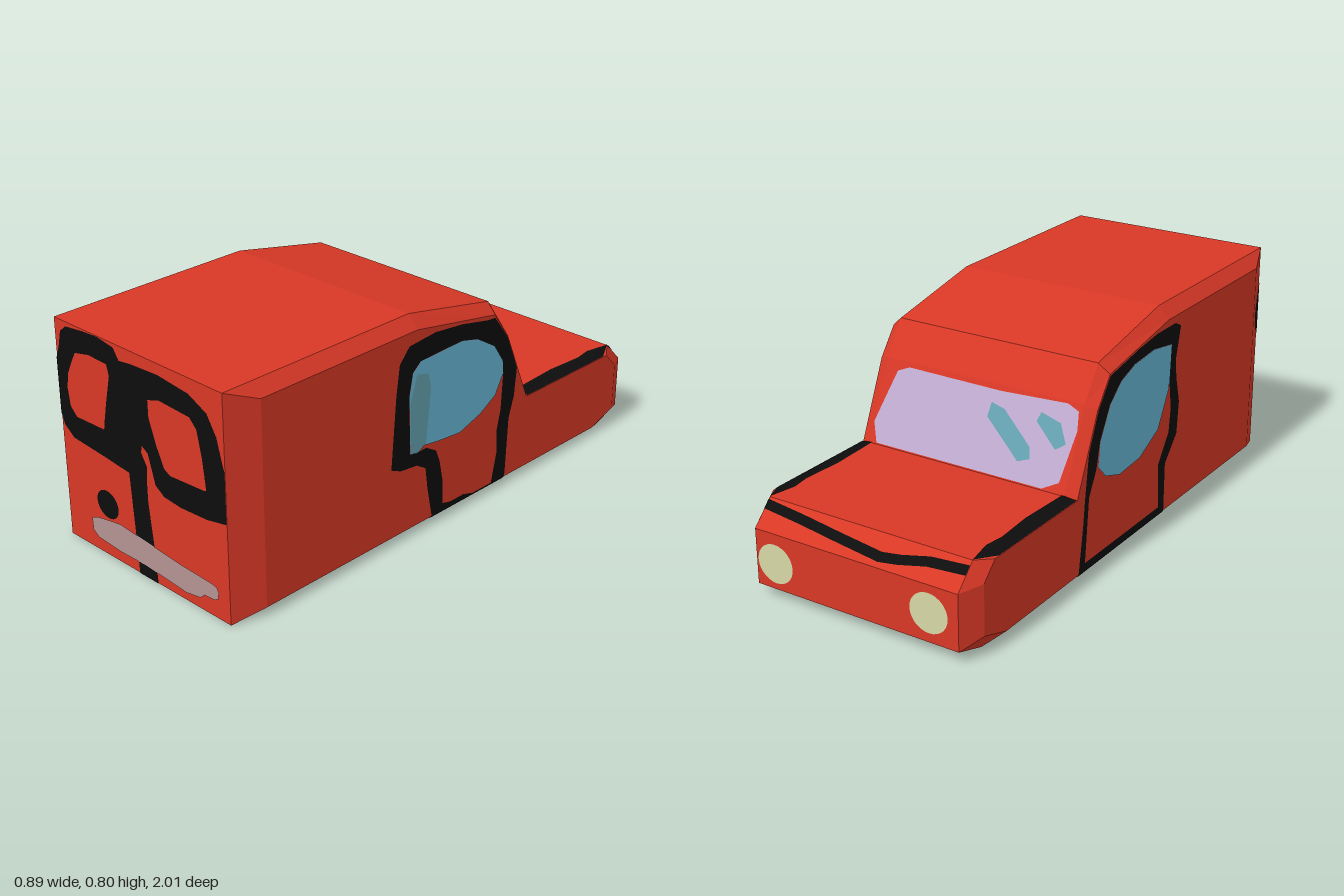
import * as THREE from 'three';

const mat = (name, color, side = THREE.DoubleSide) => {
  const m = new THREE.MeshStandardMaterial({ color, side });
  m.name = name;
  return m;
};

export function createModel() {
  const van = new THREE.Group();
  van.name = 'van';
  const red = mat('red paint', 0xd93826, THREE.FrontSide);
  const black = mat('black line', 0x0d0d0d);
  const blue = mat('window blue', 0x69b9d9);
  const teal = mat('glass streak', 0x66a3b2);
  const lilac = mat('windscreen lilac', 0xc0acd0);
  const grey = mat('bumper grey', 0xb49492);
  const cream = mat('lamp cream', 0xd8d8a6);

  // Body: centre profile at x = 0.4 and a smaller side profile at x = 0.44, as [z, y]
  const inner = [[1, 0], [1, .8], [.2, .8], [-.2, .72], [-.28, .6], [-.4, .32], [-.92, .32], [-1, .24], [-1, .04], [-.88, 0]];
  const outer = [[.885, .03], [.885, .755], [.2, .755], [-.19, .685], [-.265, .585], [-.385, .31], [-.86, .31], [-.92, .25], [-.92, .07], [-.8, .03]];
  const pos = [];
  const tri = (...corners) => corners.forEach((c) => pos.push(...c));
  const quad = (a, b, c, d) => { tri(a, b, c); tri(a, c, d); };
  const at = (x, [z, y]) => [x, y, z];
  const n = inner.length;
  for (let i = 0; i < n; i++) {
    const j = (i + 1) % n;
    quad(at(-.4, inner[i]), at(.4, inner[i]), at(.4, inner[j]), at(-.4, inner[j]));
    quad(at(.4, inner[i]), at(.44, outer[i]), at(.44, outer[j]), at(.4, inner[j]));
    quad(at(-.44, outer[i]), at(-.4, inner[i]), at(-.4, inner[j]), at(-.44, outer[j]));
  }
  const flat = outer.map(([z, y]) => new THREE.Vector2(z, y));
  for (const f of THREE.ShapeUtils.triangulateShape(flat, [])) {
    let [a, b, c] = f.map((k) => outer[k]);
    // Wind each side triangle so that it faces outwards
    const area = (b[0] - a[0]) * (c[1] - a[1]) - (b[1] - a[1]) * (c[0] - a[0]);
    if (area > 0) [b, c] = [c, b];
    tri(at(.44, a), at(.44, b), at(.44, c));
    tri(at(-.44, a), at(-.44, c), at(-.44, b));
  }
  const bodyGeo = new THREE.BufferGeometry();
  bodyGeo.setAttribute('position', new THREE.Float32BufferAttribute(pos, 3));
  bodyGeo.computeVertexNormals();
  const body = new THREE.Mesh(bodyGeo, red);
  body.name = 'body';
  van.add(body);

  // Painted plate: a flat outline placed on a body face by the rule "place"
  const plate = (name, material, pts, place, holes = []) => {
    const v = (list) => list.map(([a, b]) => new THREE.Vector2(a, b));
    const shape = new THREE.Shape(v(pts));
    shape.holes = holes.map((h) => new THREE.Path(v(h)));
    const g = new THREE.ShapeGeometry(shape);
    const p = g.attributes.position;
    for (let i = 0; i < p.count; i++) p.setXYZ(i, ...place(p.getX(i), p.getY(i)));
    g.computeVertexNormals();
    const mesh = new THREE.Mesh(g, material);
    mesh.name = name;
    van.add(mesh);
  };
  const disc = (cx, cy, rx, ry) => Array.from({ length: 28 }, (_, i) => {
    const t = i / 28 * Math.PI * 2;
    return [cx + rx * Math.cos(t), cy + ry * Math.sin(t)];
  });

  // Face with the two door windows, centre seam, handle and bumper (+z)
  const front = (d) => (x, y) => [x, y, 1 + d];
  plate('doorWindowOutline', black, [
    [-.4, .457], [-.4, .66], [-.385, .7], [-.37, .76], [-.34, .785], [-.25, .795], [-.18, .799], [-.1, .787], [-.075, .75],
    [-.02, .757], [.11, .763], [.25, .748], [.33, .71], [.37, .645], [.393, .56], [.4, .54], [.4, .36], [.31, .342],
    [.19, .335], [.11, .342], [.07, .368], [.055, .42], [.04, .47], [.012, .487], [.008, .46], [.032, .42], [.028, .375],
    [.028, .29], [.045, .14], [.055, 0], [-.038, 0], [-.045, .14], [-.06, .363], [-.185, .375], [-.34, .387], [-.385, .42],
  ], front(.002), [
    [[-.3, .705], [-.23, .72], [-.14, .717], [-.13, .68], [-.155, .575], [-.17, .505], [-.175, .476], [-.315, .472],
      [-.345, .5], [-.355, .565], [-.345, .62], [-.32, .67]],
    [[.055, .66], [.11, .677], [.25, .67], [.28, .64], [.3, .55], [.313, .445], [.305, .44], [.145, .43], [.117, .445],
      [.085, .515], [.055, .6]],
  ]);
  plate('doorWindowOutlineCorner', black,
    [[-.4, .66], [-.42, .62], [-.43, .58], [-.433, .55], [-.425, .5], [-.4, .457]],
    (x, y) => [x - .001, y, 1 + (x + .4) * 2.875 + .002]);
  plate('doorHandle', black, disc(-.185, .197, .055, .051), front(.002));
  plate('bumper', grey, [
    [-.275, .115], [-.245, .127], [-.195, .137], [-.125, .148], [0, .139], [.17, .125], [.32, .12], [.345, .115], [.353, .1],
    [.35, .075], [.33, .064], [.285, .061], [.263, .042], [.197, .031], [0, .045], [-.125, .042], [-.245, .05], [-.272, .068],
  ], front(.004));

  // Side doors, as [z, y]
  const side = (s, d) => (z, y) => [s * (.44 + d), y, z];
  const sill = (s) => (z, y) => [s * (.402 + y * 4 / 3), y - .001, z];
  plate('leftDoorOutline', black, [
    [.32, .3], [.3, .555], [.285, .66], [.24, .71], [.115, .72], [-.02, .705], [-.15, .678], [-.19, .675], [-.26, .585],
    [-.295, .505], [-.32, .445], [-.31, .34], [-.285, .26], [-.275, .045], [-.27, .03], [.115, .03], [.14, .15],
    [.152, .233], [.195, .26], [.275, .27], [.32, .29],
  ], side(1, .002), [[
    [.23, .315], [.238, .53], [.222, .61], [.185, .64], [-.02, .645], [-.1, .625], [-.19, .57], [-.238, .5], [-.244, .43],
    [-.238, .31], [-.22, .235], [-.225, .15], [-.2, .035], [-.1, .035], [-.05, .05], [.02, .05], [.06, .06], [.063, .15],
    [.08, .23], [.1, .28], [.15, .31], [.195, .308],
  ]]);
  plate('leftDoorSill', black, [[.115, 0], [.115, .03], [-.27, .03], [-.255, 0]], sill(1));
  plate('leftWindow', blue, [
    [.23, .315], [.238, .53], [.222, .61], [.185, .64], [-.02, .645], [-.1, .625], [-.19, .57], [-.238, .5], [-.244, .45],
    [-.205, .38], [-.125, .335], [-.02, .303], [.09, .313], [.17, .325], [.195, .308],
  ], side(1, .003));
  plate('leftWindowStreak', teal,
    [[.205, .6], [.15, .585], [.135, .53], [.155, .33], [.19, .31], [.23, .315], [.235, .5]], side(1, .005));

  plate('rightDoorOutline', black, [
    [.29, .71], [.26, .59], [.27, .52], [.295, .424], [.285, .305], [.206, .215], [.206, .03], [-.375, .03], [-.35, .2],
    [-.34, .295], [-.32, .45], [-.29, .52], [-.262, .585], [-.19, .68], [0, .715], [.12, .73], [.25, .73],
  ], side(-1, .002), [[
    [.225, .66], [.215, .55], [.235, .42], [.225, .33], [.155, .23], [.165, .06], [-.335, .06], [-.315, .29], [-.27, .38],
    [-.25, .47], [-.19, .58], [-.12, .64], [-.03, .67], [.1, .68],
  ]]);
  plate('rightDoorSill', black, [[.19, .005], [.206, .03], [-.375, .03], [-.37, .005]], sill(-1));
  plate('rightWindow', blue, [
    [.225, .66], [.215, .5], [.145, .37], [.02, .31], [-.118, .3], [-.21, .33], [-.26, .38], [-.25, .47], [-.19, .58],
    [-.12, .64], [-.03, .67], [.1, .68],
  ], side(-1, .003));

  // Windscreen on the steep slope, as [x, z]
  const screen = (d) => (x, z) => [x, .32 + (z + .4) * 7 / 3 + d * .39, z - d * .92];
  plate('windscreen', lilac, [
    [-.395, -.315], [-.37, -.385], [-.31, -.398], [.37, -.398], [.398, -.37], [.37, -.33], [.345, -.295], [.3, -.287],
    [-.08, -.288], [-.34, -.283], [-.385, -.29],
  ], screen(.002));
  plate('windscreenStreakSmall', teal, [[-.365, -.335], [-.33, -.345], [-.24, -.315], [-.25, -.302], [-.33, -.31]], screen(.004));
  plate('windscreenStreakLarge', teal,
    [[-.245, -.365], [-.2, -.372], [-.05, -.325], [-.055, -.305], [-.11, -.31], [-.235, -.35]], screen(.004));

  // Bonnet edge lines, nose line and headlamps
  for (const s of [-1, 1]) {
    const bonnet = (x, z) => [s * x, .322 - Math.max(0, x - .4) * .25, z];
    plate('bonnetEdgeLine', black, [[.4, -.4], [.39, -.4], [.38, -.6], [.39, -.75], [.38, -.82], [.4, -.92]], bonnet);
    plate('bonnetEdgeBevel', black, [[.4, -.4], [.44, -.39], [.44, -.84], [.4, -.92]], bonnet);
    plate('headlamp', cream, disc(s < 0 ? -.29 : .32, s < 0 ? .143 : .133, .072, .07), (x, y) => [x, y, -1.002]);
  }
  const wave = [[-.4, -.945], [-.26, -.952], [-.16, -.968], [-.09, -.975], [.08, -.962], [.25, -.948], [.4, -.938]];
  plate('noseLine', black,
    [...wave.map(([x, z]) => [x, z - .012]), ...wave.map(([x, z]) => [x, z + .012]).reverse()],
    (x, z) => [x, .32 + z + .92 + .0015, z - .0015]);

  return van;
}
